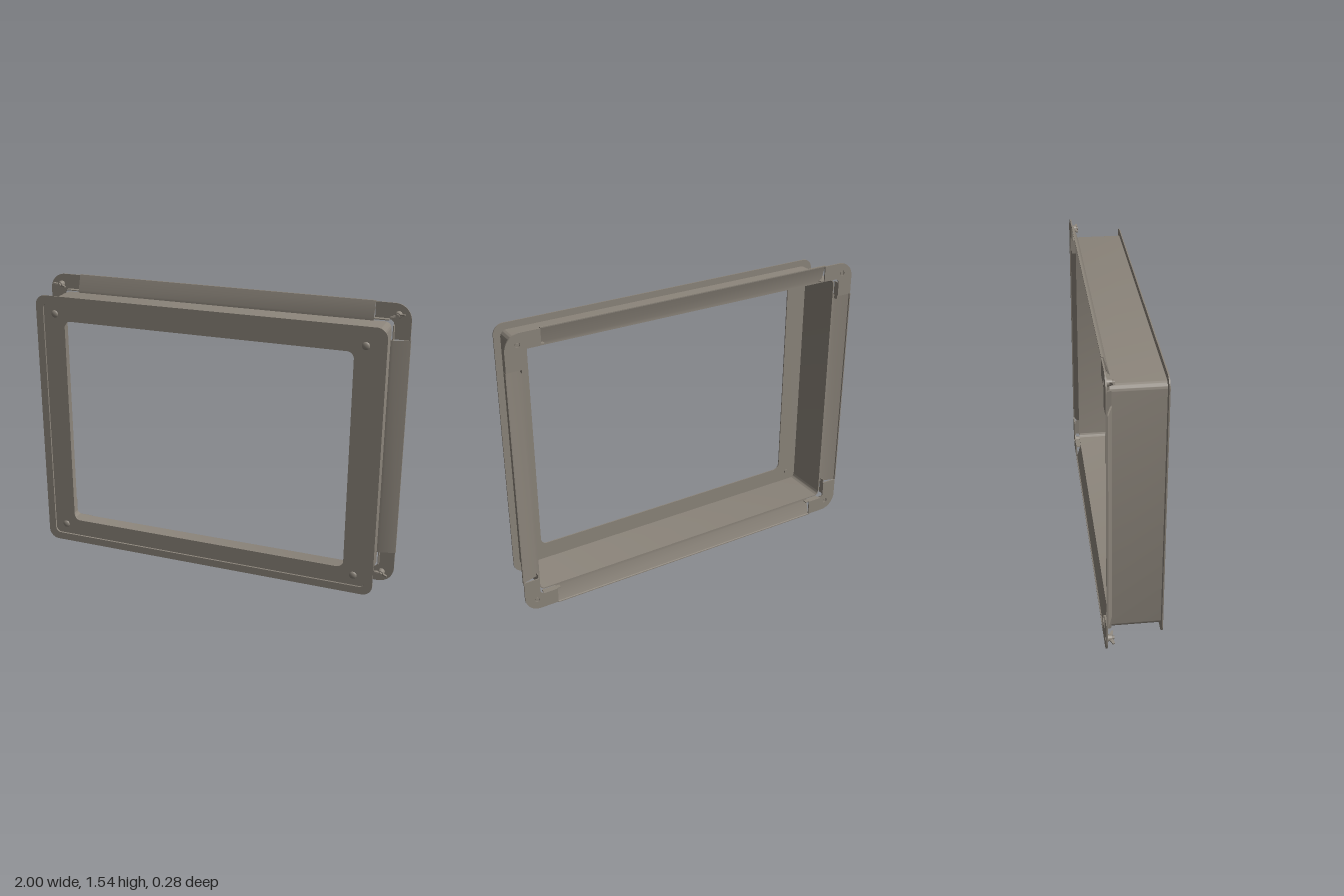
import * as THREE from 'three';
import { toCreasedNormals } from 'three/addons/utils/BufferGeometryUtils.js';

const CY = 0.7725;              // height of the frame's centre
const WALL_X = 0.905, WALL_Y = 0.6775; // outer half sizes of the duct wall

// Traces a centred rounded rectangle into a Shape or Path
function roundRect(target, hw, hh, r) {
  target.moveTo(-hw + r, -hh);
  target.lineTo(hw - r, -hh);
  target.absarc(hw - r, -hh + r, r, -Math.PI / 2, 0, false);
  target.absarc(hw - r, hh - r, r, 0, Math.PI / 2, false);
  target.absarc(-hw + r, hh - r, r, Math.PI / 2, Math.PI, false);
  target.absarc(-hw + r, -hh + r, r, Math.PI, Math.PI * 1.5, false);
  return target;
}

function extrude(shape, z0, z1) {
  const g = new THREE.ExtrudeGeometry(shape, { depth: z1 - z0, bevelEnabled: false, curveSegments: 10 });
  g.translate(0, 0, z0);
  return toCreasedNormals(g, 0.6);
}

// Rectangular ring between two rounded rectangles: [halfWidth, halfHeight, radius]
function ring(outer, inner, z0, z1) {
  const s = roundRect(new THREE.Shape(), ...outer);
  s.holes.push(roundRect(new THREE.Path(), ...inner));
  return extrude(s, z0, z1);
}

export function createModel() {
  const metal = new THREE.MeshStandardMaterial({ color: 0x8c857b, side: THREE.DoubleSide });
  metal.name = 'grey metal';
  const model = new THREE.Group();
  model.name = 'ductFrame';
  const frame = new THREE.Group();
  frame.name = 'frame';
  frame.position.y = CY;
  model.add(frame);

  const add = (name, geometry, parent = frame) => {
    const m = new THREE.Mesh(geometry, metal);
    m.name = name;
    parent.add(m);
    return m;
  };

  // Duct wall, front flange and the slightly recessed front plate
  add('ductWall', ring([WALL_X, WALL_Y, 0.035], [WALL_X - 0.006, WALL_Y - 0.006, 0.029], -0.114, 0.14));
  add('frontFlange', ring([0.94, 0.7125, 0.055], [WALL_X - 0.006, WALL_Y - 0.006, 0.029], 0.136, 0.142));
  add('frontPlate', ring([WALL_X - 0.003, WALL_Y - 0.003, 0.032], [0.78, 0.58, 0.035], 0.126, 0.132));

  // Sloped rear strips, one per side, with a small lip at the wall and a hem outside
  const profile = new THREE.Shape([
    [-0.004, -0.114], [0.012, -0.114], [0.088, -0.136], [0.09, -0.142], [0.095, -0.142],
    [0.095, -0.132], [0.014, -0.106], [-0.004, -0.106],
  ].map(([u, z]) => new THREE.Vector2(u, z)));
  const zAxis = new THREE.Vector3(0, 0, 1);
  [
    ['topStrip', 0, 1], ['bottomStrip', 0, -1], ['leftStrip', 1, 0], ['rightStrip', -1, 0],
  ].forEach(([name, ox, oy]) => {
    const half = oy ? 0.815 : 0.585;
    const out = new THREE.Vector3(ox, oy, 0);
    const along = out.clone().cross(zAxis);
    const g = extrude(profile, -half, half);
    g.applyMatrix4(new THREE.Matrix4().makeBasis(out, zAxis, along));
    g.translate(ox * WALL_X, oy * WALL_Y, 0);
    add(name, g);
  });

  // Corner plate outline: L shape with a rounded outside corner and a bolt hole
  const X = 0.997, Y = 0.768, IX = 0.912, IY = 0.684, AX = 0.815, AY = 0.585;
  const corner = new THREE.Shape();
  corner.moveTo(IX, AY);
  corner.lineTo(X, AY);
  corner.lineTo(X, Y - 0.085);
  corner.absarc(X - 0.085, Y - 0.085, 0.085, 0, Math.PI / 2, false);
  corner.lineTo(AX, Y);
  corner.lineTo(AX, IY);
  corner.lineTo(IX - 0.025, IY);
  corner.absarc(IX - 0.025, IY - 0.025, 0.025, Math.PI / 2, 0, true);
  corner.closePath();
  const boltX = 0.932, boltY = 0.711;
  corner.holes.push(new THREE.Path().absarc(boltX, boltY, 0.014, 0, Math.PI * 2, true));
  const cornerGeo = extrude(corner, -0.142, -0.135);

  // Inner lip of the corner arms, wing and bolt shapes
  const lipX = new THREE.BoxGeometry(0.095, 0.005, 0.028);
  const lipY = new THREE.BoxGeometry(0.005, 0.095, 0.028);
  const bolt = new THREE.CylinderGeometry(0.009, 0.009, 0.044, 16).rotateX(Math.PI / 2);
  const nut = new THREE.CylinderGeometry(0.014, 0.019, 0.026, 16).rotateX(Math.PI / 2);
  const wing = extrude(new THREE.Shape([
    [0.008, -0.009], [0.026, 0.002], [0.038, 0.008], [0.036, 0.018], [0.022, 0.016], [0.008, 0.008],
  ].map(([x, y]) => new THREE.Vector2(x, y))), -0.004, 0.004).rotateX(Math.PI / 2);
  const dome = new THREE.SphereGeometry(0.02, 20, 8, 0, Math.PI * 2, 0, Math.PI / 2)
    .rotateX(Math.PI / 2).scale(1, 1, 0.5);
  const stud = new THREE.CylinderGeometry(0.011, 0.011, 0.008, 16).rotateX(Math.PI / 2);

  for (const sx of [1, -1]) for (const sy of [1, -1]) {
    const group = new THREE.Group();
    group.name = (sy > 0 ? 'top' : 'bottom') + (sx > 0 ? 'Left' : 'Right') + 'Corner';
    group.scale.set(sx, sy, 1);
    frame.add(group);

    add('cornerPlate', cornerGeo, group);
    add('cornerLip', lipX, group).position.set(AX + 0.0475 - 0.02, IY + 0.0025, -0.122);
    add('cornerLip', lipY, group).position.set(IX + 0.0025, AY + 0.0475 - 0.02, -0.122);

    // Bolt with wing nut
    add('bolt', bolt, group).position.set(boltX, boltY, -0.118);
    add('wingNut', nut, group).position.set(boltX, boltY, -0.122);
    for (const a of [0.25, 0.25 + Math.PI]) {
      const w = add('nutWing', wing, group);
      w.position.set(boltX, boltY, -0.116);
      w.rotation.z = a;
    }

    // Domed screw on the front plate with its stud behind
    add('screwHead', dome, group).position.set(0.835, 0.615, 0.132);
    add('screwStud', stud, group).position.set(0.835, 0.615, 0.123);
  }
  return model;
}
